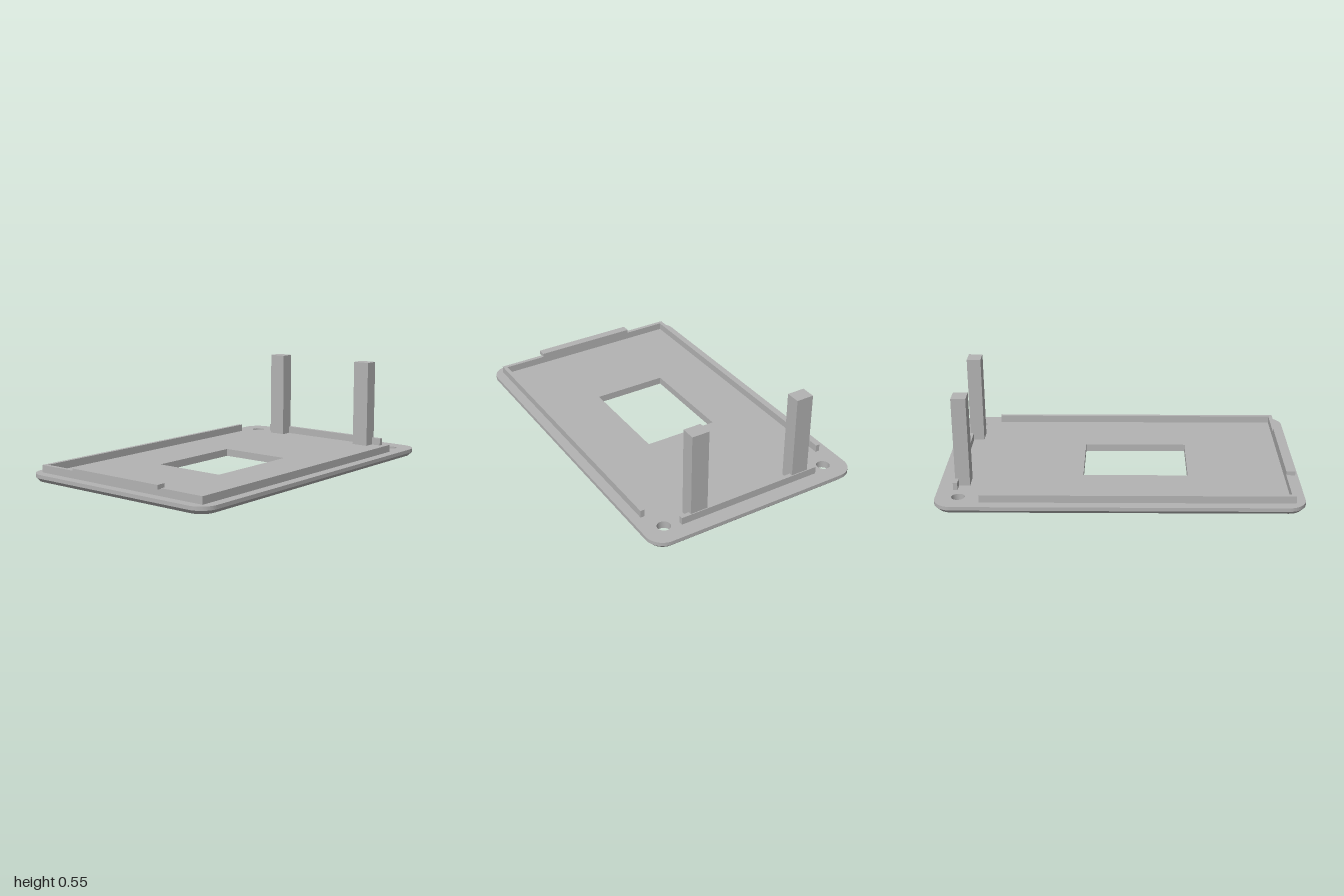
import * as THREE from 'three';
import { toCreasedNormals } from 'three/addons/utils/BufferGeometryUtils.js';

const HALF_X = 1, HALF_Z = 0.634, RADIUS = 0.1, THICK = 0.042, CHAMFER = 0.02;

// Rounded plate with a window and two screw holes; lower outer edge chamfered
function plateGeometry() {
  const cx = HALF_X - RADIUS, cz = HALF_Z - RADIUS;
  const shape = new THREE.Shape();
  shape.absarc(cx, cz, RADIUS, 0, Math.PI / 2);
  shape.absarc(-cx, cz, RADIUS, Math.PI / 2, Math.PI);
  shape.absarc(-cx, -cz, RADIUS, Math.PI, Math.PI * 1.5);
  shape.absarc(cx, -cz, RADIUS, Math.PI * 1.5, Math.PI * 2);

  // Shape y points to the back
  const win = [[-0.38, -0.203], [-0.38, 0.228], [0.208, 0.228], [0.208, -0.203]];
  shape.holes.push(new THREE.Path(win.map(([x, y]) => new THREE.Vector2(x, y))));
  for (const side of [-1, 1]) {
    shape.holes.push(new THREE.Path().absarc(0.875, side * 0.511, 0.037, 0, Math.PI * 2, true));
  }

  const geo = new THREE.ExtrudeGeometry(shape, { depth: THICK, steps: 2, bevelEnabled: false, curveSegments: 12 });
  geo.rotateX(-Math.PI / 2);

  // Pull the bottom rim inwards
  const pos = geo.attributes.position;
  for (let i = 0; i < pos.count; i++) {
    if (pos.getY(i) > 0.001) continue;
    const x = pos.getX(i), z = pos.getZ(i);
    const kx = THREE.MathUtils.clamp(x, -cx, cx), kz = THREE.MathUtils.clamp(z, -cz, cz);
    if (Math.hypot(x - kx, z - kz) < RADIUS - 0.001) continue;
    const s = (RADIUS - CHAMFER) / RADIUS;
    pos.setXYZ(i, kx + (x - kx) * s, 0, kz + (z - kz) * s);
  }
  return toCreasedNormals(geo, Math.PI / 6);
}

export function createModel() {
  const model = new THREE.Group();
  model.name = 'casePanel';
  const grey = new THREE.MeshStandardMaterial({ color: 0xb3b3b3 });
  grey.name = 'grey plastic';

  const add = (name, geometry) => {
    const mesh = new THREE.Mesh(geometry, grey);
    mesh.name = name;
    model.add(mesh);
    return mesh;
  };
  // Box given by its limits on each axis
  const box = (name, x0, x1, y0, y1, z0, z1) =>
    add(name, new THREE.BoxGeometry(x1 - x0, y1 - y0, z1 - z0))
      .position.set((x0 + x1) / 2, (y0 + y1) / 2, (z0 + z1) / 2);

  add('basePlate', plateGeometry());

  // Raised rim on three sides, with a snap ledge on the end wall
  const top = 0.084, out = 0.578, inn = 0.555;
  box('frontWall', -0.945, 0.755, THICK, top, inn, out);
  box('backWall', -0.945, 0.755, THICK, top, -out, -inn);
  box('endWall', -0.945, -0.922, THICK, top, -inn, inn);
  box('snapLedge', -0.972, -0.922, 0.081, 0.105, -0.307, 0.307);

  // Short rail and two tall posts at the other end
  box('rail', 0.89, 0.914, THICK, top, -0.427, 0.427);
  box('frontPost', 0.828, 0.909, THICK, 0.554, 0.27, 0.37);
  box('backPost', 0.828, 0.909, THICK, 0.554, -0.37, -0.27);

  return model;
}
